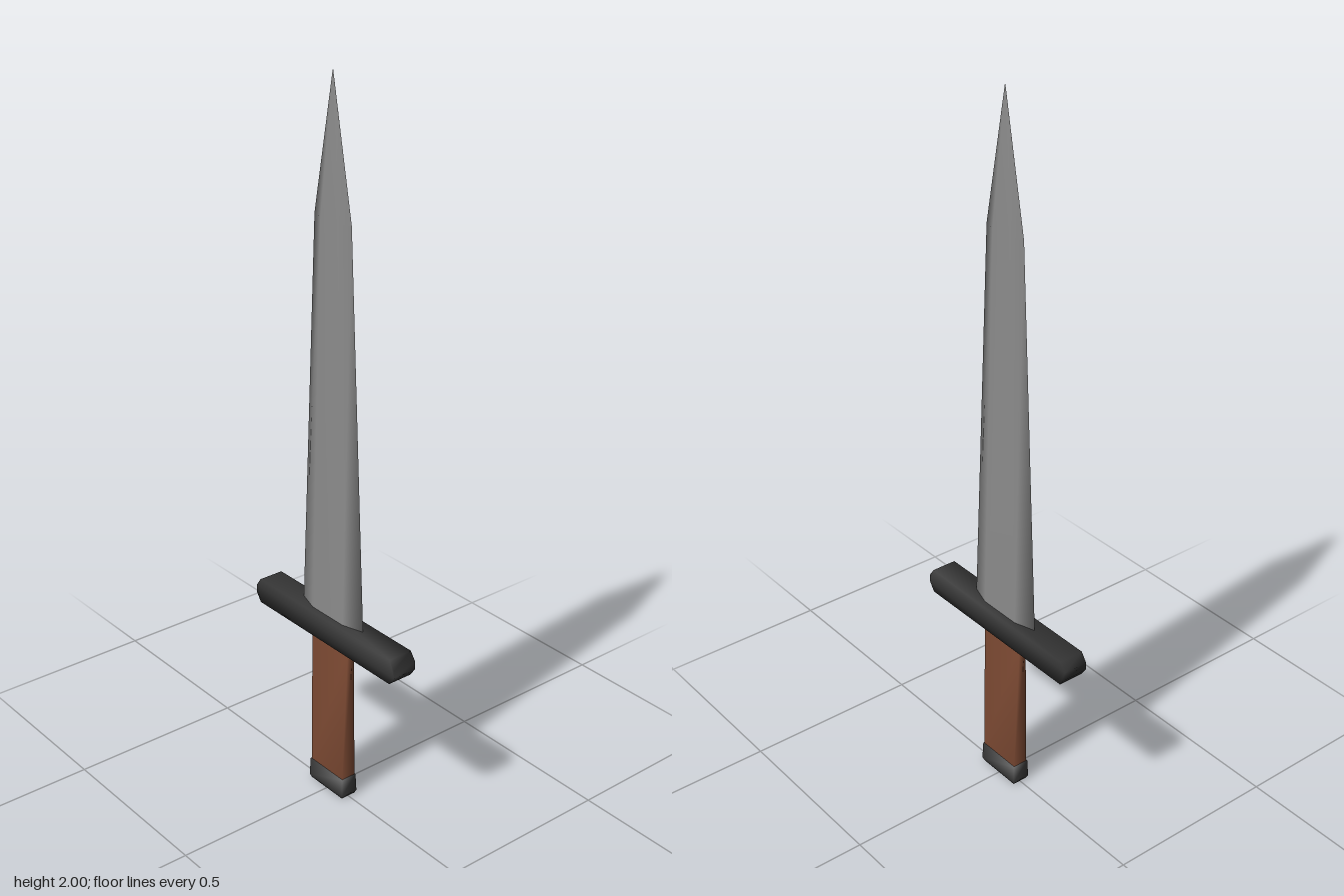
import * as THREE from 'three';
import { mergeVertices } from 'three/addons/utils/BufferGeometryUtils.js';

const STEEL = 0x8c8c8c, IRON = 0x333333, WOOD = 0x7d4a33;

function part(name, geometry, color) {
  const mesh = new THREE.Mesh(geometry, new THREE.MeshStandardMaterial({ color }));
  mesh.name = name;
  return mesh;
}

// Joins closed rings of [x, z] points (counter-clockwise seen from above) stacked at heights y
function loft(sections) {
  const n = sections[0].ring.length;
  const positions = [], index = [];
  for (const { y, ring } of sections) for (const [x, z] of ring) positions.push(x, y, z);
  for (let s = 0; s < sections.length - 1; s++) {
    for (let i = 0; i < n; i++) {
      const a = s * n + i, b = s * n + (i + 1) % n;
      index.push(a, b, b + n, a, b + n, a + n);
    }
  }
  const top = (sections.length - 1) * n;
  for (let i = 1; i < n - 1; i++) {
    index.push(0, i + 1, i);
    index.push(top, top + i, top + i + 1);
  }
  const geometry = new THREE.BufferGeometry();
  geometry.setAttribute('position', new THREE.Float32BufferAttribute(positions, 3));
  geometry.setIndex(index);
  geometry.computeVertexNormals();
  return geometry;
}

// Blade section: sharp edges at both sides, flat faces in the middle
const hexagon = (w, flat, d) => [[w, 0], [flat, -d], [-flat, -d], [-w, 0], [-flat, d], [flat, d]];
const rectangle = (w, d) => [[w, d], [w, -d], [-w, -d], [-w, d]];

export function createModel() {
  const dagger = new THREE.Group();
  dagger.name = 'dagger';

  // Tapered blade with a steeper point
  dagger.add(part('blade', loft([
    { y: 0.54, ring: hexagon(0.125, 0.063, 0.019) },
    { y: 1.64, ring: hexagon(0.071, 0.034, 0.011) },
    { y: 2.0, ring: hexagon(0.001, 0.0005, 0.0005) },
  ]), STEEL));

  // Crossguard with chamfered ends
  const outline = new THREE.Shape([
    [-0.272, 0.478], [0.272, 0.478], [0.29, 0.503], [0.29, 0.525],
    [0.272, 0.55], [-0.272, 0.55], [-0.29, 0.525], [-0.29, 0.503],
  ].map(([x, y]) => new THREE.Vector2(x, y)));
  let guard = new THREE.ExtrudeGeometry(outline, { depth: 0.072, bevelEnabled: false });
  guard.translate(0, 0, -0.036);
  guard.deleteAttribute('normal');
  guard.deleteAttribute('uv');
  guard = mergeVertices(guard);
  guard.computeVertexNormals();
  dagger.add(part('crossguard', guard, IRON));

  // Grip, thinner towards the guard
  dagger.add(part('grip', loft([
    { y: 0.055, ring: rectangle(0.067, 0.022) },
    { y: 0.485, ring: rectangle(0.075, 0.01) },
  ]), WOOD));

  // End cap with a small chamfer at the foot
  dagger.add(part('pommel', loft([
    { y: 0, ring: rectangle(0.066, 0.022) },
    { y: 0.01, ring: rectangle(0.071, 0.026) },
    { y: 0.063, ring: rectangle(0.069, 0.024) },
  ]), IRON));

  return dagger;
}
